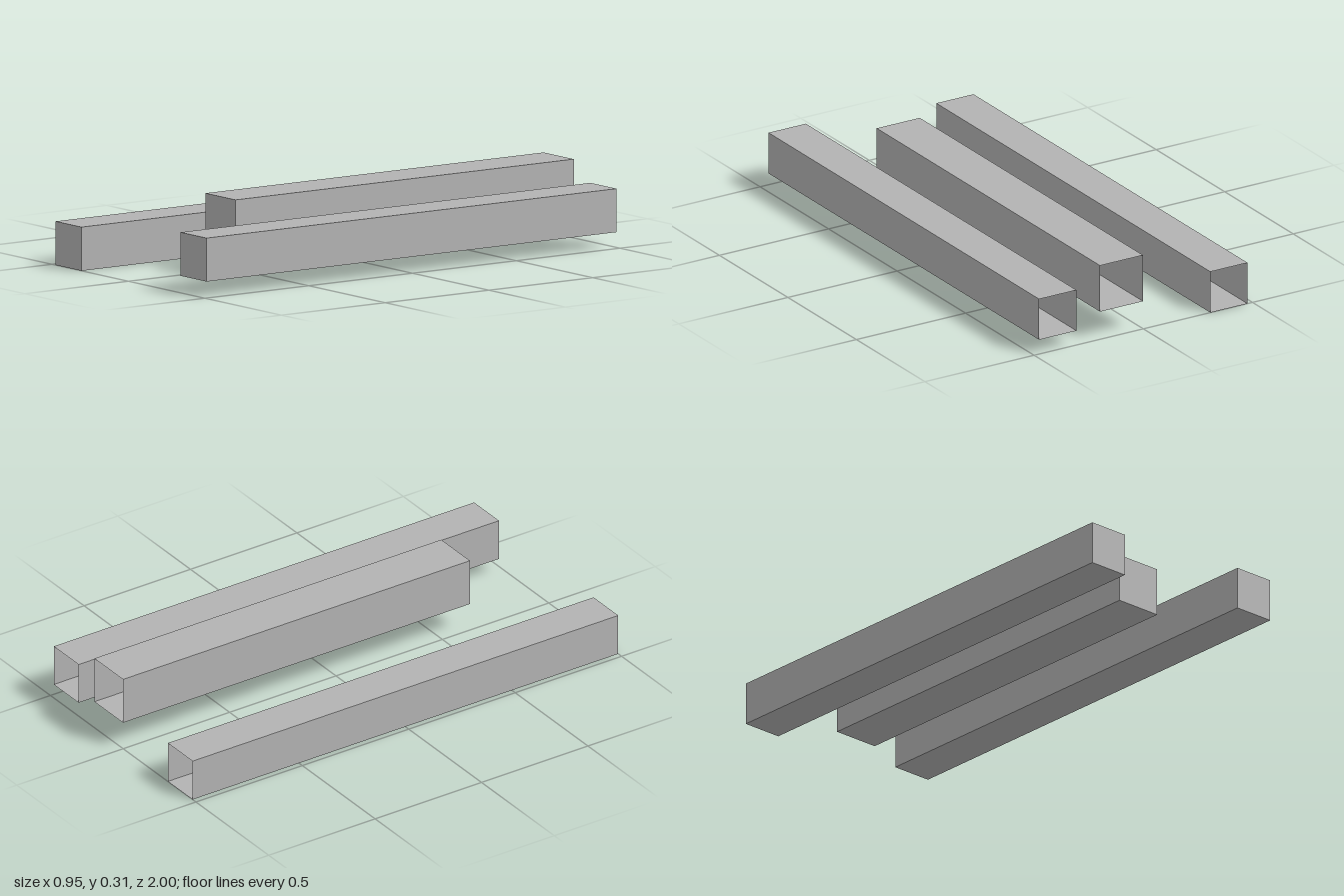
import * as THREE from 'three';

export function createModel() {
  const group = new THREE.Group();
  const grey = new THREE.MeshStandardMaterial({ color: 0xb2b2b2, side: THREE.DoubleSide });
  grey.name = 'grey';

  // Square hollow beam: closed at the front, open at the back (z = -1)
  function beam(name, x0, x1, y0, y1, zFront) {
    const length = zFront + 1;
    const geometry = new THREE.BoxGeometry(x1 - x0, y1 - y0, length);
    // The last six indices are the back face
    geometry.setIndex(Array.from(geometry.index.array).slice(0, 30));
    geometry.clearGroups();
    const mesh = new THREE.Mesh(geometry, grey);
    mesh.name = name;
    mesh.position.set((x0 + x1) / 2, (y0 + y1) / 2, -1 + length / 2);
    group.add(mesh);
  }

  beam('rightBeam', -0.477, -0.307, 0, 0.172, 1);
  beam('middleBeam', 0.001, 0.198, 0.116, 0.31, 0.63);
  beam('leftBeam', 0.306, 0.477, 0.06, 0.231, 0.975);

  return group;
}
